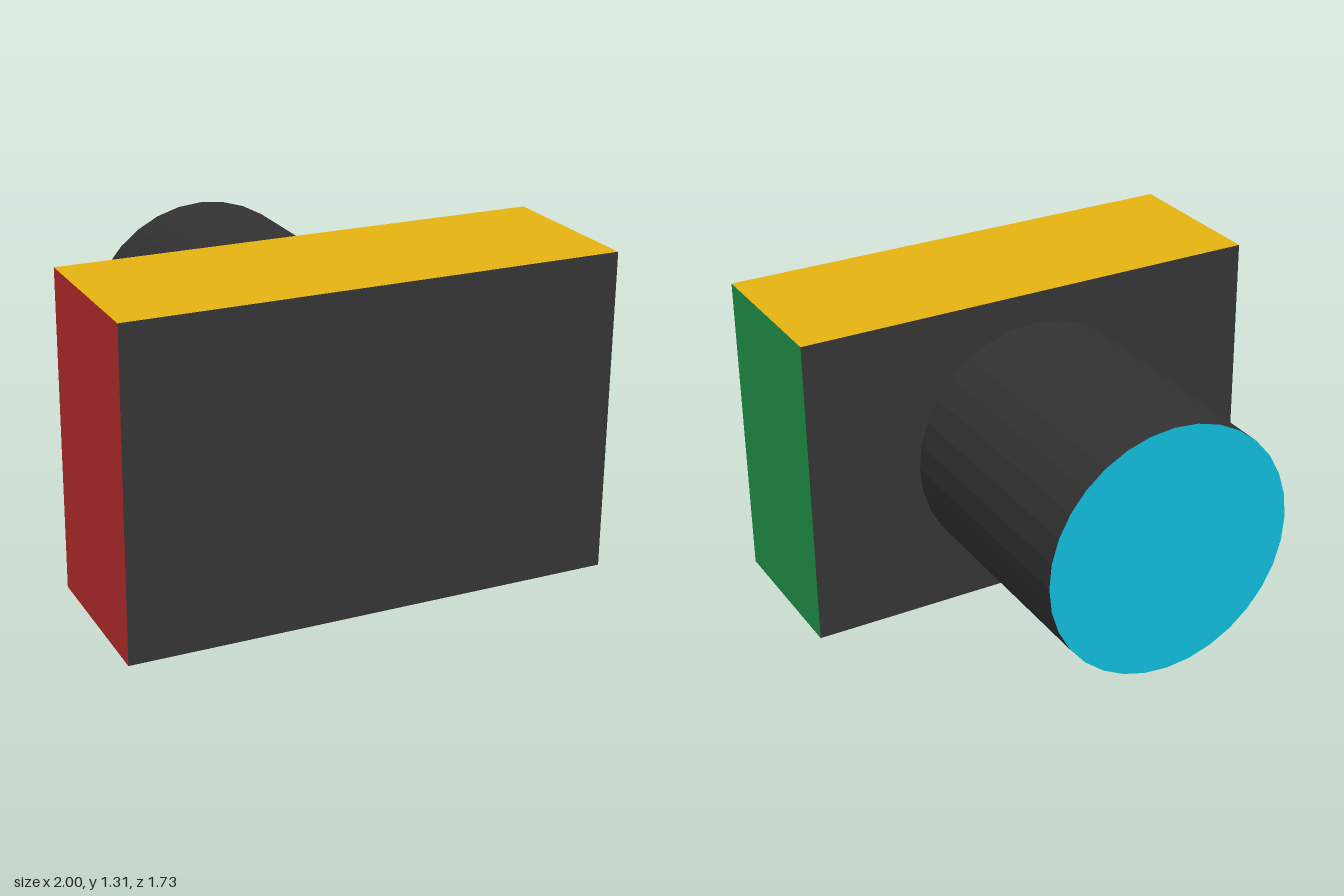
import * as THREE from 'three';

export function createModel() {
  const model = new THREE.Group();
  model.name = 'boxWithBarrel';

  const paint = (name, color, flatShading = false) => {
    const material = new THREE.MeshStandardMaterial({ color, flatShading });
    material.name = name;
    return material;
  };
  const charcoal = paint('charcoal', 0x333333, true);
  const green = paint('green', 0x27aa56);
  const red = paint('red', 0xd93636);
  const gold = paint('gold', 0xe4b311);
  const cyan = paint('cyan', 0x10b8d6);

  // Body block: left, right, top, bottom, front, back
  const body = new THREE.Mesh(
    new THREE.BoxGeometry(2, 1.31, 0.69),
    [green, red, gold, charcoal, charcoal, charcoal]
  );
  body.name = 'body';
  body.position.set(0, 0.655, 0.52);
  model.add(body);

  // Barrel pointing backwards: wall, hidden front cap, coloured end cap
  const barrelGeometry = new THREE.CylinderGeometry(0.523, 0.523, 1.04, 32);
  barrelGeometry.rotateX(Math.PI / 2);
  const barrel = new THREE.Mesh(barrelGeometry, [charcoal, charcoal, cyan]);
  barrel.name = 'barrel';
  barrel.position.set(0, 0.655, -0.345);
  model.add(barrel);

  return model;
}
